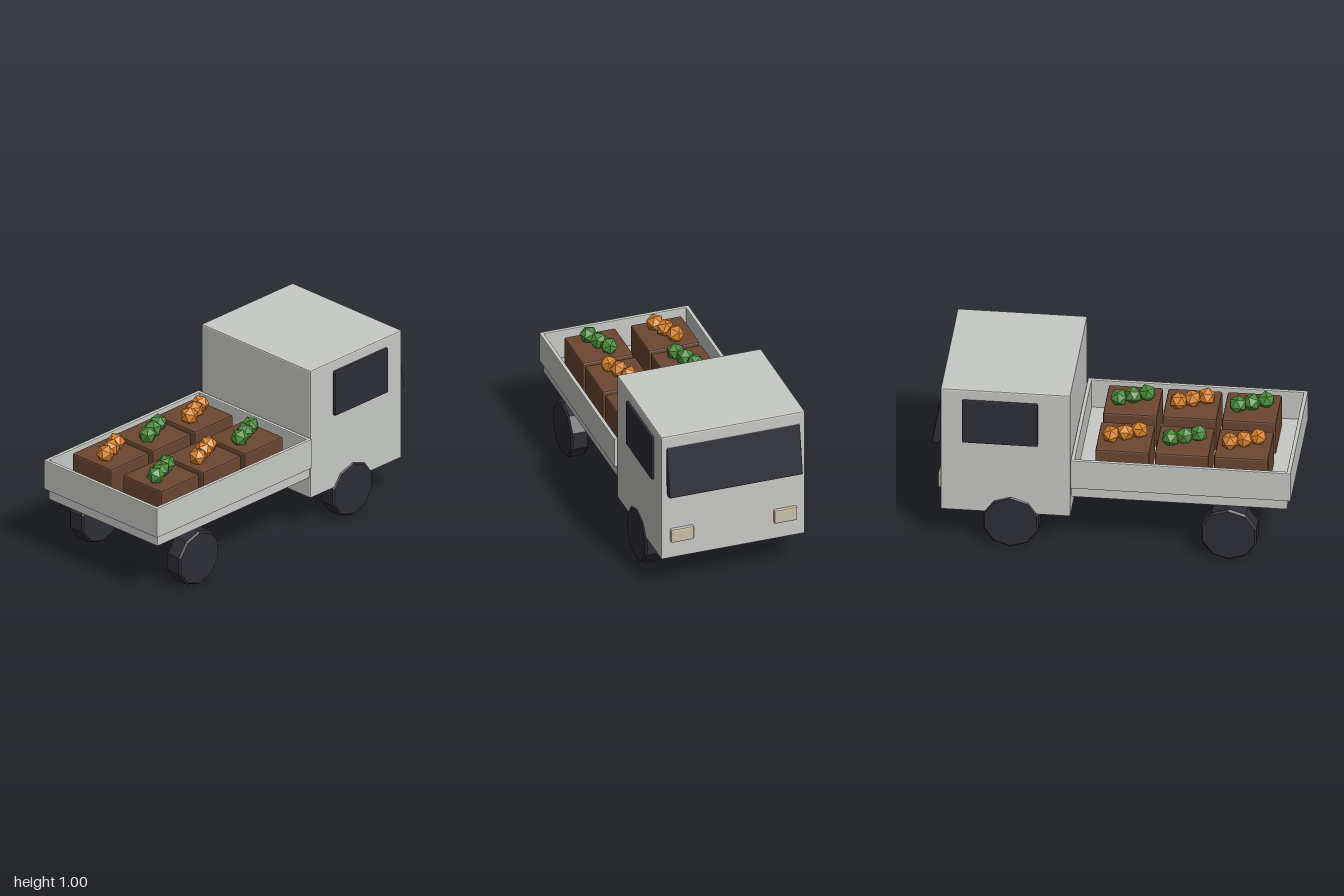
import * as THREE from 'three';
import { RoundedBoxGeometry } from 'three/addons/geometries/RoundedBoxGeometry.js';

const paint = (name, color) => Object.assign(new THREE.MeshStandardMaterial({ color }), { name });

// Faceted normals for the low-poly look
function faceted(geometry) {
  const g = geometry.index ? geometry.toNonIndexed() : geometry;
  g.computeVertexNormals();
  return g;
}

export function createModel() {
  const truck = new THREE.Group();
  truck.name = 'farmTruck';

  const body = paint('bodyGrey', 0xc8cac6);
  const dark = paint('darkGlassAndRubber', 0x2d2d36);
  const cream = paint('lampCream', 0xc9bfa2);
  const wood = paint('crateBrown', 0x6b4631);
  const green = paint('leafGreen', 0x4b8c3b);
  const orange = paint('fruitOrange', 0xd9822b);

  function add(name, geometry, material, x, y, z, parent = truck) {
    const mesh = new THREE.Mesh(geometry, material);
    mesh.name = name;
    mesh.position.set(x, y, z);
    parent.add(mesh);
    return mesh;
  }

  // Chamfered box given by its limits on each axis
  function block(name, material, [x0, x1], [y0, y1], [z0, z1], bevel = 0.008, parent = truck) {
    const g = faceted(new RoundedBoxGeometry(x1 - x0, y1 - y0, z1 - z0, 1, bevel));
    return add(name, g, material, (x0 + x1) / 2, (y0 + y1) / 2, (z0 + z1) / 2, parent);
  }

  // Cab, with the windscreen leaning out at the bottom
  block('cab', body, [0.225, 0.945], [0.217, 1], [-0.422, 0.422]);
  const screen = add('windscreen', faceted(new RoundedBoxGeometry(0.045, 0.308, 0.784, 1, 0.008)),
    dark, 0.95, 0.778, 0);
  screen.rotation.z = 0.175;

  // Load bed: floor, side boards and end boards
  block('bedFloor', body, [-0.98, 0.222], [0.345, 0.415], [-0.422, 0.422]);
  block('tailboard', body, [-1, -0.977], [0.41, 0.59], [-0.438, 0.438], 0.005);
  block('headboard', body, [0.2, 0.222], [0.41, 0.59], [-0.43, 0.43], 0.005);

  // Lathe profile of a tyre with chamfered shoulders
  const tyre = faceted(new THREE.LatheGeometry([
    [0, -0.053], [0.152, -0.053], [0.162, -0.043], [0.162, 0.043], [0.152, 0.053], [0, 0.053],
  ].map(([r, y]) => new THREE.Vector2(r, y)), 10));

  for (const s of [-1, 1]) {
    const side = s > 0 ? 'Right' : 'Left';
    const zs = (a, b) => (s > 0 ? [a, b] : [-b, -a]);
    block('sideBoard' + side, body, [-1, 0.222], [0.41, 0.59], zs(0.415, 0.438), 0.005);
    block('sideWindow' + side, dark, [0.405, 0.825], [0.665, 0.938], zs(0.41, 0.438), 0.007);
    block('headlight' + side, cream, [0.93, 0.966], [0.323, 0.407], zs(0.236, 0.37), 0.008);
    for (const [end, x] of [['rear', -0.655], ['front', 0.555]]) {
      add(end + 'Wheel' + side, tyre, dark, x, 0.163, s * 0.376).rotation.x = Math.PI / 2;
    }
  }

  // Crates in a chequered pattern of greens and oranges, three pieces in each
  const ball = new THREE.IcosahedronGeometry(0.052, 0);
  for (let row = 0; row < 2; row++) {
    for (let col = 0; col < 3; col++) {
      const crate = new THREE.Group();
      crate.name = `crate${row * 3 + col + 1}`;
      crate.position.set(-0.715 + col * 0.33, 0, row ? 0.19 : -0.198);
      truck.add(crate);
      block('box', wood, [-0.15, 0.15], [0.41, 0.615], [-0.15, 0.15], 0.01, crate);
      const isGreen = (row + col) % 2 === 1;
      for (let i = -1; i <= 1; i++) {
        const piece = add(isGreen ? 'cabbage' : 'orange', ball, isGreen ? green : orange,
          i * 0.075, 0.648, -i * 0.032, crate);
        piece.rotation.set(i * 0.7 + col, i * 1.1 + row, 0.4 * i);
      }
    }
  }
  return truck;
}
